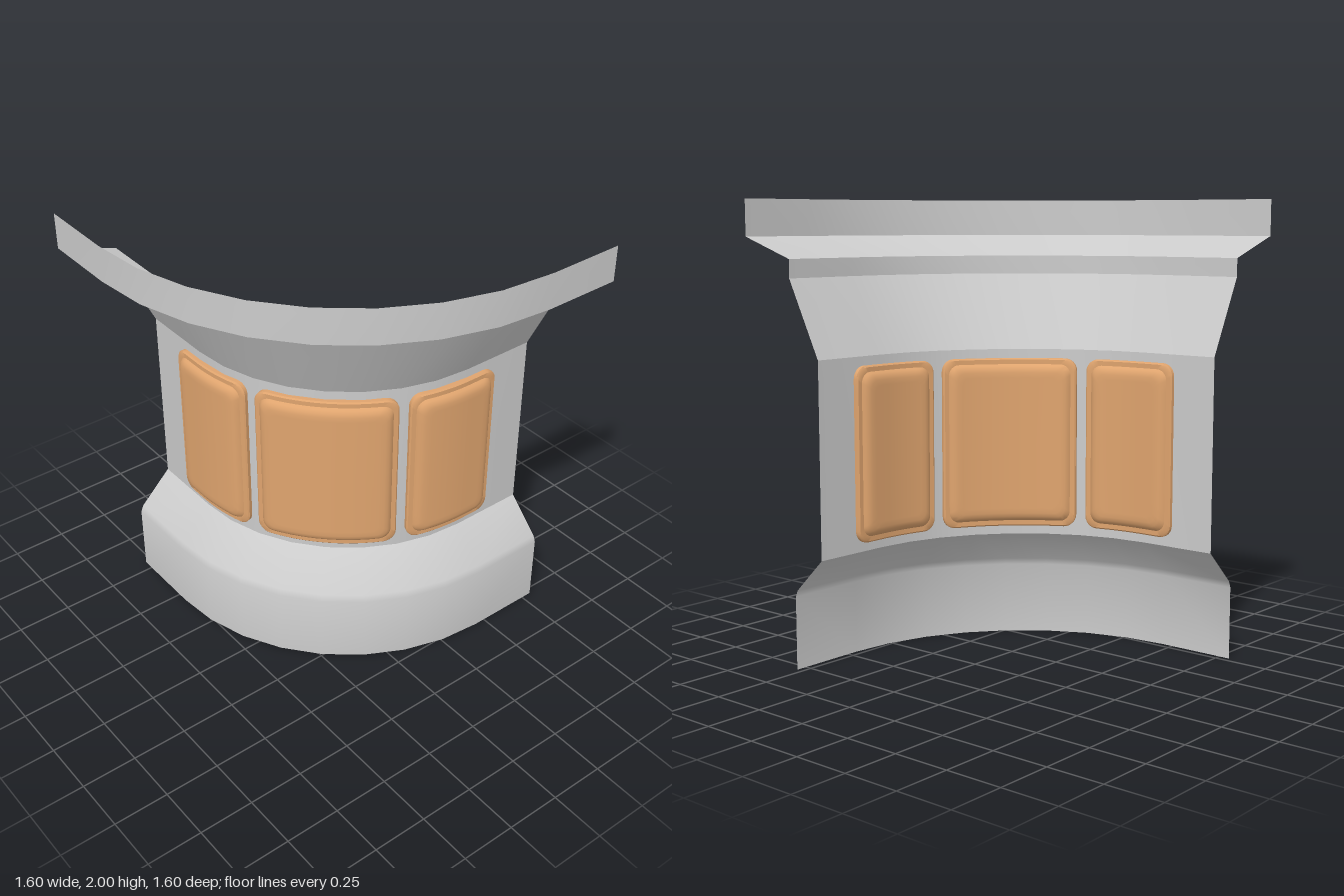
import * as THREE from 'three';
import { toCreasedNormals } from 'three/addons/utils/BufferGeometryUtils.js';

const R = 0.815;               // radius of the wall bend
const C = -0.45;               // bend centre in x and z
const L = R * Math.PI / 2;     // length of the bend

// Point at distance s along the wall, pushed outward by d, at height y
function at(s, d, y) {
  const a = Math.min(Math.max(s, 0), L) / R;
  const before = Math.min(s, 0), after = Math.max(s - L, 0);
  return [C + (R + d) * Math.sin(a) + before, y, C + (R + d) * Math.cos(a) - after];
}

// Surface through rows of points
function skin(rows, crease) {
  const n = rows[0].length, index = [];
  for (let i = 0; i < rows.length - 1; i++) {
    for (let j = 0; j < n - 1; j++) {
      const a = i * n + j, b = a + 1, c = b + n, d = a + n;
      index.push(a, b, c, a, c, d);
    }
  }
  const geo = new THREE.BufferGeometry();
  geo.setAttribute('position', new THREE.Float32BufferAttribute(rows.flat(2), 3));
  geo.setIndex(index);
  return toCreasedNormals(geo, crease);
}

// Closed counterclockwise rounded rectangle with subdivided edges
function ring(hw, hh, r) {
  const pts = [], corners = [[1, -1], [1, 1], [-1, 1], [-1, -1]];
  corners.forEach(([sx, sy], k) => {
    for (let i = 0; i <= 6; i++) {
      const a = (k - 1 + i / 6) * Math.PI / 2;
      pts.push([sx * (hw - r) + r * Math.cos(a), sy * (hh - r) + r * Math.sin(a)]);
    }
    const [nx, ny] = corners[(k + 1) % 4];
    const p = pts[pts.length - 1], a = (k + 1) * Math.PI / 2 - Math.PI / 2;
    const q = [nx * (hw - r) + r * Math.cos(a), ny * (hh - r) + r * Math.sin(a)];
    q[0] = k % 2 ? nx * (hw - r) : p[0];
    q[1] = k % 2 ? p[1] : ny * (hh - r);
    for (let i = 1; i < 12; i++) {
      pts.push([p[0] + (q[0] - p[0]) * i / 12, p[1] + (q[1] - p[1]) * i / 12]);
    }
  });
  pts.push(pts[0]);
  return pts;
}

// Raised panel bent to the wall; side is 1 outside, -1 inside
function panelGeometry(centre, halfWidth, side) {
  const halfHeight = 0.38, midY = 0.92;
  // [inset, height above the wall]
  const steps = [[0, 0], [0, 0.016], [0.006, 0.022], [0.026, 0.022],
    [0.034, 0.033], [0.046, 0.041], [0.062, 0.045], [0.085, 0.045]];
  const rows = steps.map(([inset, h]) =>
    ring(halfWidth - inset, halfHeight - inset, Math.max(0.055 - inset * 0.3, 0.03))
      .map(([u, v]) => at(centre + u, side * h, midY + v)));
  // Close the face along its middle line
  rows.push(ring(halfWidth - 0.085, halfHeight - 0.085, 0.03)
    .map(([u]) => at(centre + u, side * 0.045, midY)));
  if (side < 0) rows.forEach(row => row.reverse());
  return skin(rows, 0.7);
}

export function createModel() {
  const group = new THREE.Group();
  const stone = new THREE.MeshStandardMaterial({ color: 0xcccccc, side: THREE.DoubleSide });
  const wood = new THREE.MeshStandardMaterial({ color: 0xdfa46e, side: THREE.DoubleSide });

  // Curved wall sheet: base, plain band, flared cornice and lip
  const profile = [[0.165, 0], [0.165, 0.32], [0.153, 0.35], [0, 0.5], [0, 1.34],
    [0.165, 1.67], [0.165, 1.75], [0.435, 1.84], [0.435, 2]];
  const stations = [-0.35];
  for (let i = 0; i <= 8; i++) stations.push(L * i / 8);
  stations.push(L + 0.35);
  const wall = new THREE.Mesh(
    skin(profile.map(([d, y]) => stations.map(s => at(s, d, y))), 0.45), stone);
  wall.name = 'curvedWall';
  group.add(wall);

  // Three panels on each face of the wall
  const panels = [['frontPanel', 0.067, 0.217], ['cornerPanel', L / 2, 0.309],
    ['sidePanel', L - 0.067, 0.217]];
  for (const [name, centre, halfWidth] of panels) {
    for (const side of [1, -1]) {
      const mesh = new THREE.Mesh(panelGeometry(centre, halfWidth, side), wood);
      mesh.name = name + (side > 0 ? 'Outer' : 'Inner');
      group.add(mesh);
    }
  }
  return group;
}
